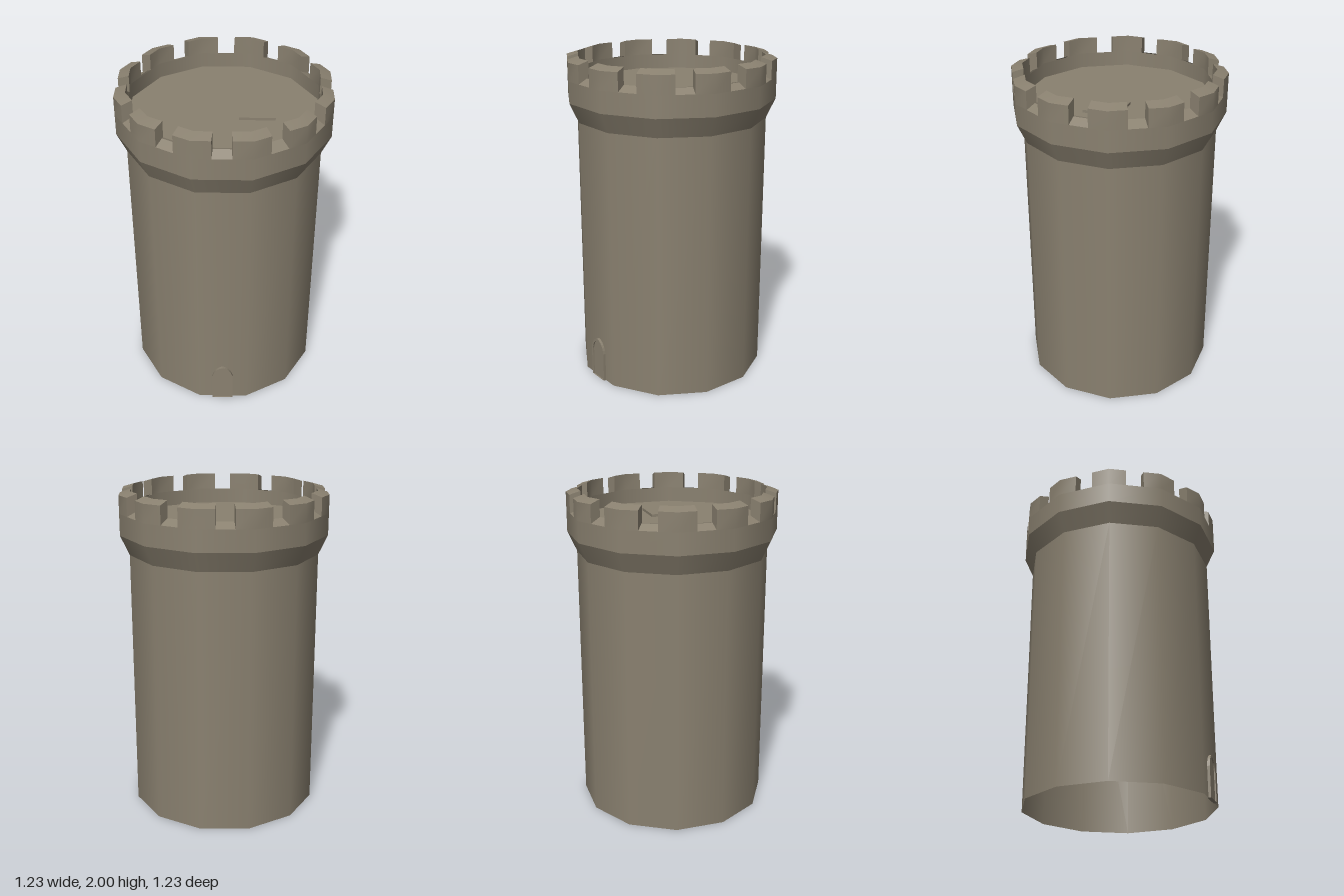
import * as THREE from 'three';
import { mergeGeometries } from 'three/addons/utils/BufferGeometryUtils.js';

const SIDES = 12;
const STEP = (Math.PI * 2) / SIDES;
const TAN = Math.tan(STEP / 2);
const COS = Math.cos(STEP / 2);

// distances from the axis to the middle of each flat side
const BODY = 0.562, CROWN = 0.615, INNER = 0.55;

// point on flat side k, moved sideways by s
function onSide(k, dist, s, y) {
  const a = k * STEP;
  return [Math.sin(a) * dist + Math.cos(a) * s, y, Math.cos(a) * dist - Math.sin(a) * s];
}

// smooth strip between two rows of points
function strip(lower, upper) {
  const n = lower.length, index = [];
  for (let i = 0; i < n - 1; i++) index.push(i, i + 1, n + i + 1, i, n + i + 1, n + i);
  const g = new THREE.BufferGeometry();
  g.setAttribute('position', new THREE.Float32BufferAttribute([...lower, ...upper].flat(), 3));
  g.setIndex(index);
  g.computeVertexNormals();
  return g;
}

// open twelve-sided wall with flat sides facing the axes
function wall(bottomDist, topDist, y0, y1) {
  const g = new THREE.CylinderGeometry(topDist / COS, bottomDist / COS, y1 - y0, SIDES, 1, true, STEP / 2);
  return g.translate(0, (y0 + y1) / 2, 0);
}

// one merlon wrapping the corner between sides k and k + 1
function merlon(k) {
  const row = (dist, s, y) => [
    onSide(k, dist, s, y), onSide(k, dist, dist * TAN, y), onSide(k + 1, dist, -s, y),
  ];
  const rows = [row(CROWN, 0.055, 1.87), row(CROWN, 0.055, 1.98), row(INNER, 0.05, 2), row(INNER, 0.05, 1.9)];
  const [ob, ot, it, ib] = rows;
  return mergeGeometries([
    strip(ob, ot), strip(ot, it), strip(it, ib),
    strip([ib[0], ob[0]], [it[0], ot[0]]),
    strip([ob[2], ib[2]], [ot[2], it[2]]),
  ]);
}

// sloping floor of the notch on side k
function sill(k, innerDist) {
  return strip(
    [onSide(k, CROWN, -0.055, 1.87), onSide(k, CROWN, 0.055, 1.87)],
    [onSide(k, innerDist, -0.05, 1.9), onSide(k, innerDist, 0.05, 1.9)]);
}

// pointed arch outline
function arch(Type, half, spring, top) {
  const p = new Type();
  p.moveTo(-half, 0);
  p.lineTo(half, 0);
  p.lineTo(half, spring);
  p.quadraticCurveTo(half * 0.85, top - 0.015, 0, top);
  p.quadraticCurveTo(-half * 0.85, top - 0.015, -half, spring);
  p.closePath();
  return p;
}

export function createModel() {
  const model = new THREE.Group();
  const stone = new THREE.MeshStandardMaterial({ color: 0x8a8170, side: THREE.DoubleSide });
  stone.name = 'stone';
  const add = (name, geometry) => {
    const mesh = new THREE.Mesh(geometry, stone);
    mesh.name = name;
    model.add(mesh);
    return mesh;
  };

  // shaft and flared top
  add('towerBody', wall(BODY, BODY, 0, 1.62));
  add('corbel', wall(BODY, CROWN, 1.62, 1.74));
  add('parapetOuterWall', wall(CROWN, CROWN, 1.74, 1.87));
  add('parapetInnerWall', wall(INNER, INNER, 1.81, 1.9));

  // battlements; some notches leave a drain slot by the inner wall
  const slotted = [0, 2, 3, 8, 9, 11];
  for (let k = 0; k < SIDES; k++) {
    add('merlon', merlon(k));
    add('notchSill', sill(k, slotted.includes(k) ? 0.563 : INNER));
  }

  // roof deck and hatch
  const deck = new THREE.CircleGeometry((INNER - 0.002) / COS, SIDES, STEP / 2);
  add('roofDeck', deck.rotateX(-Math.PI / 2)).position.y = 1.81;
  add('roofHatch', new THREE.BoxGeometry(0.21, 0.016, 0.215)).position.set(0.19, 1.818, 0.003);

  // arched doorway on the front
  const frame = arch(THREE.Shape, 0.065, 0.185, 0.27);
  const opening = arch(THREE.Path, 0.052, 0.185, 0.255);
  frame.holes.push(opening);
  // the opening starts just above the frame's foot so the outlines do not touch
  opening.curves.forEach((c) => {
    for (const v of [c.v1, c.v2]) if (v && v.y === 0) v.y = 0.001;
  });
  const frameGeo = new THREE.ExtrudeGeometry(frame, { depth: 0.022, bevelEnabled: false, curveSegments: 6 });
  add('doorFrame', frameGeo).position.z = 0.556;
  const panel = new THREE.ShapeGeometry(arch(THREE.Shape, 0.053, 0.185, 0.256), 6);
  add('door', panel).position.z = 0.57;

  return model;
}
